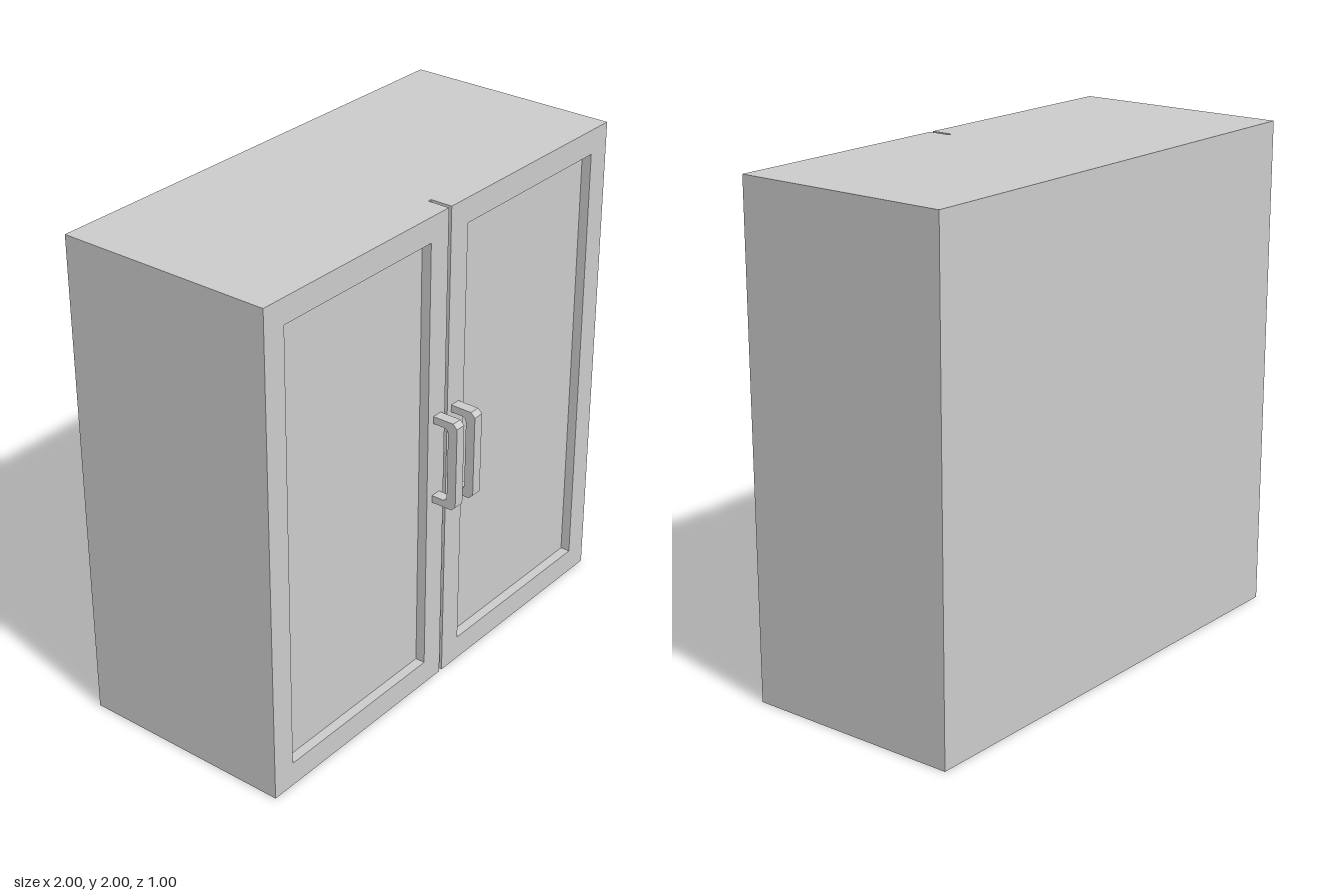
import * as THREE from 'three';

const material = new THREE.MeshStandardMaterial({ color: 0xcccccc, flatShading: true });

function addMesh(parent, name, geometry, x = 0, y = 0, z = 0) {
  const mesh = new THREE.Mesh(geometry, material);
  mesh.name = name;
  mesh.position.set(x, y, z);
  parent.add(mesh);
  return mesh;
}

function rectangle(Type, x0, y0, x1, y1) {
  return new Type([[x0, y0], [x1, y0], [x1, y1], [x0, y1]].map(([x, y]) => new THREE.Vector2(x, y)));
}

// C-shaped pull with chamfered corners, drawn as (depth, height) and extruded across its width
function handleGeometry(width) {
  const half = 0.185, reach = 0.11, bar = 0.04, arm = 0.03, cut = 0.018;
  const inner = half - arm, face = reach - bar;
  const lower = [[0, -half], [reach - cut, -half], [reach, -half + cut]];
  const hollow = [[face, inner - cut], [face - 0.005, inner - 0.005], [face - cut, inner], [0, inner]];
  const flip = (points) => points.map(([z, y]) => [z, -y]).reverse();
  const outline = [...lower, ...flip(lower), ...[...hollow].reverse(), ...flip(hollow).reverse()];
  const shape = new THREE.Shape(outline.map(([z, y]) => new THREE.Vector2(z, y)));
  return new THREE.ExtrudeGeometry(shape, { depth: width, bevelEnabled: false })
    .translate(0, 0, -width / 2)
    .rotateY(-Math.PI / 2);
}

export function createModel() {
  const cabinet = new THREE.Group();
  cabinet.name = 'cabinet';

  const bodyFront = 0.3, doorFront = 0.392, recess = 0.04;
  const gap = 0.008, rail = 0.1;
  const doorWidth = 1 - gap, doorDepth = doorFront - bodyFront;

  // Closed carcass
  addMesh(cabinet, 'body', new THREE.BoxGeometry(2, 2, 0.8), 0, 1, -0.1);

  for (const side of [-1, 1]) {
    const door = new THREE.Group();
    door.name = side > 0 ? 'leftDoor' : 'rightDoor';
    door.position.set(side * (gap + doorWidth / 2), 1, bodyFront);
    cabinet.add(door);

    // Frame around the recessed panel
    const hw = doorWidth / 2;
    const frame = rectangle(THREE.Shape, -hw, -1, hw, 1);
    frame.holes.push(rectangle(THREE.Path, -hw + rail, -1 + rail, hw - rail, 1 - rail));
    addMesh(door, 'doorFrame', new THREE.ExtrudeGeometry(frame, { depth: doorDepth, bevelEnabled: false }));

    const panelDepth = doorDepth - recess;
    addMesh(door, 'doorPanel',
      new THREE.BoxGeometry(doorWidth - 2 * rail, 2 - 2 * rail, panelDepth), 0, 0, panelDepth / 2);

    // Pull beside the centre gap
    addMesh(door, 'handle', handleGeometry(0.044), side * (0.055 - gap - hw), 0.005, doorDepth - 0.002);
  }

  return cabinet;
}
